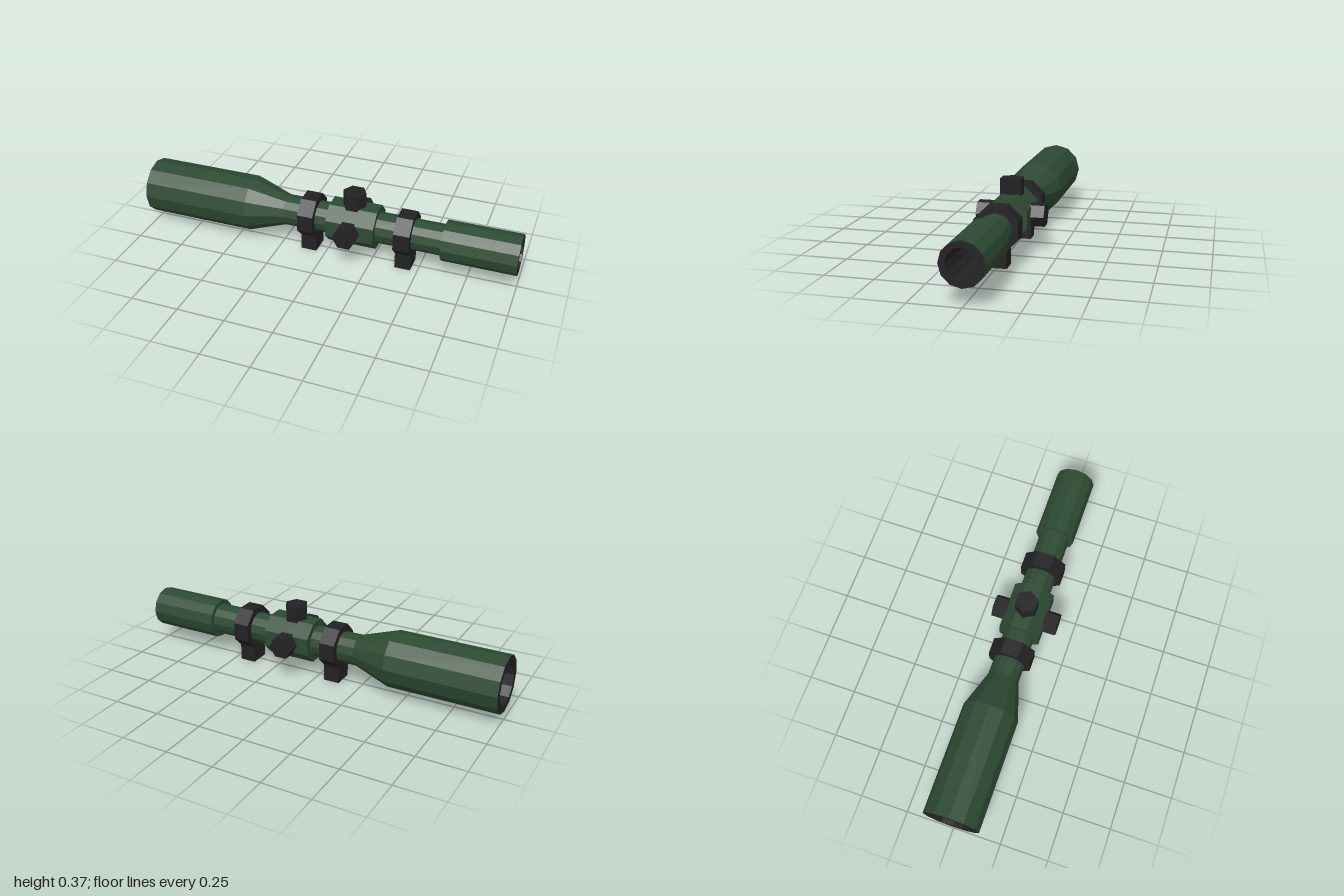
import * as THREE from 'three';

const AXIS_Y = 0.19; // height of the optical axis
const green = new THREE.MeshStandardMaterial({ color: 0x2d4a32, flatShading: true });
const dark = new THREE.MeshStandardMaterial({ color: 0x222222, flatShading: true });

// Revolve [x, radius] points around the optical axis; rising x faces outward.
function revolve(name, points, sides, material, phiStart = 0) {
  const profile = points.map(([x, r]) => new THREE.Vector2(r, x));
  const geometry = new THREE.LatheGeometry(profile, sides, phiStart).rotateZ(-Math.PI / 2);
  const mesh = new THREE.Mesh(geometry, material);
  mesh.name = name;
  return mesh;
}

// Octagonal collar with flat top and sides, seated on the tube.
function collar(name, x0, x1, apothem, material) {
  const r = apothem / Math.cos(Math.PI / 8);
  return revolve(name, [[x0, 0.078], [x0, r], [x1, r], [x1, 0.078]], 8, material, Math.PI / 8);
}

// Hexagonal knob pointing away from the axis at an angle from straight up.
function knob(name, x, angle, top) {
  const base = 0.09;
  const geometry = new THREE.CylinderGeometry(0.062, 0.062, top - base, 6, 1, false, Math.PI / 6);
  geometry.translate(x, (top + base) / 2, 0).rotateX(angle);
  const mesh = new THREE.Mesh(geometry, dark);
  mesh.name = name;
  return mesh;
}

export function createModel() {
  const model = new THREE.Group();
  model.name = 'telescopicSight';
  const body = new THREE.Group();
  body.name = 'body';
  body.position.y = AXIS_Y;
  model.add(body);

  // Outer shell: wide front bell, taper, main tube and eyepiece
  body.add(revolve('outerTube', [
    [-1, 0.146], [-0.42, 0.146], [-0.225, 0.081], [0.62, 0.081], [0.62, 0.105], [1, 0.105],
  ], 12, green));

  // Dark end rims and the open bore running through the tube
  body.add(revolve('bore', [
    [1, 0.105], [1, 0.075], [0.62, 0.062], [-0.225, 0.062], [-0.42, 0.11], [-1, 0.11], [-1, 0.146],
  ], 12, dark));

  // Adjustment block with three knobs
  body.add(collar('turretBlock', 0.02, 0.275, 0.107, green));
  body.add(knob('topKnob', 0.142, 0, 0.183));
  body.add(knob('frontKnob', 0.142, Math.PI / 2, 0.175));
  body.add(knob('backKnob', 0.142, -Math.PI / 2, 0.175));

  // Two mounting rings, each on a square foot
  for (const x of [-0.092, 0.422]) {
    const mount = new THREE.Group();
    mount.name = 'mount';
    mount.add(collar('mountRing', x - 0.042, x + 0.042, 0.11, dark));
    const foot = new THREE.Mesh(new THREE.BoxGeometry(0.084, 0.105, 0.107), dark);
    foot.name = 'mountFoot';
    foot.position.set(x, 0.0525 - AXIS_Y, 0);
    mount.add(foot);
    body.add(mount);
  }
  return model;
}
